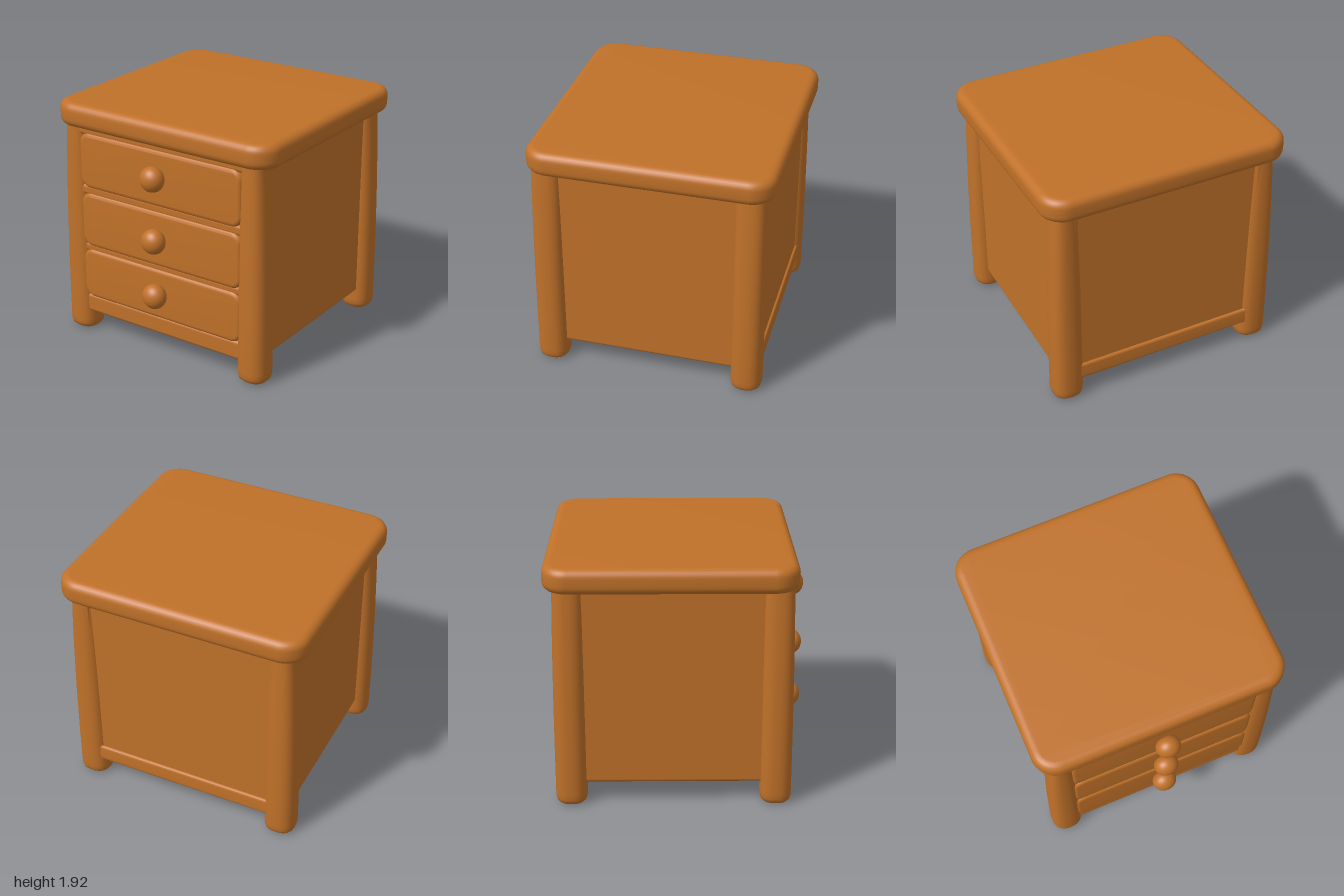
import * as THREE from 'three';
import { toCreasedNormals } from 'three/addons/utils/BufferGeometryUtils.js';
import { RoundedBoxGeometry } from 'three/addons/geometries/RoundedBoxGeometry.js';

const wood = new THREE.MeshStandardMaterial({ color: 0xc07129 });
wood.name = 'warm wood';

function add(parent, name, geometry, x = 0, y = 0, z = 0) {
  const mesh = new THREE.Mesh(geometry, wood);
  mesh.name = name;
  mesh.position.set(x, y, z);
  parent.add(mesh);
  return mesh;
}

// Rounded rectangle outline, centred on (0, cy)
function roundedOutline(Type, w, h, r, cy = 0) {
  const x = w / 2 - r, y = h / 2 - r;
  const s = new Type();
  s.absarc(x, cy + y, r, 0, Math.PI / 2);
  s.absarc(-x, cy + y, r, Math.PI / 2, Math.PI);
  s.absarc(-x, cy - y, r, Math.PI, Math.PI * 1.5);
  s.absarc(x, cy - y, r, Math.PI * 1.5, Math.PI * 2);
  s.closePath();
  return s;
}

// Extrusion along z with soft edges, centred on z = 0
function softExtrude(shape, depth, bevel) {
  const g = new THREE.ExtrudeGeometry(shape, {
    depth: depth - 2 * bevel, bevelEnabled: true, bevelSize: bevel,
    bevelThickness: bevel, bevelSegments: 6, curveSegments: 8,
  });
  g.translate(0, 0, -depth / 2 + bevel);
  return toCreasedNormals(g, 0.7);
}

function softSlab(w, h, depth, corner, bevel) {
  const outline = roundedOutline(THREE.Shape, w - 2 * bevel, h - 2 * bevel, corner - bevel);
  return softExtrude(outline, depth, bevel);
}

// Box given by its limits
function boxBetween(parent, name, x0, x1, y0, y1, z0, z1, r) {
  return add(parent, name, new RoundedBoxGeometry(x1 - x0, y1 - y0, z1 - z0, 4, r),
    (x0 + x1) / 2, (y0 + y1) / 2, (z0 + z1) / 2);
}

// Squarish round leg whose outward sides curve in near the top
function legGeometry(sx, sz) {
  const profile = [[0, 0], [0.075, 0], [0.095, 0.007], [0.113, 0.025], [0.12, 0.05], [0.122, 0.09],
    [0.122, 0.4], [0.122, 0.8], [0.122, 1.1], [0.122, 1.4], [0.122, 1.6], [0.122, 1.76]]
    .map(([r, y]) => new THREE.Vector2(r, y));
  const g = new THREE.LatheGeometry(profile, 40);
  const p = g.attributes.position;
  for (let i = 0; i < p.count; i++) {
    const x = p.getX(i), y = p.getY(i), z = p.getZ(i);
    const r = Math.hypot(x, z);
    if (r > 0) {
      const c = Math.abs(x / r), s = Math.abs(z / r);
      const k = Math.pow(c ** 2.5 + s ** 2.5, -1 / 2.5);
      const t = (y / 1.76) ** 2.5;
      const taperX = x * sx > 0 ? 1 - 0.32 * t : 1 - 0.12 * t;
      const taperZ = z * sz > 0 ? 1 - 0.15 * t : 1;
      p.setXYZ(i, x * k * 1.02 * taperX, y, z * k * taperZ);
    }
  }
  g.computeVertexNormals();
  return toCreasedNormals(g, 0.9);
}

export function createModel() {
  const model = new THREE.Group();
  model.name = 'nightstand';

  // Table top
  const top = add(model, 'tableTop', softSlab(2, 1.89, 0.195, 0.19, 0.065), 0, 1.8275, -0.055);
  top.rotation.x = -Math.PI / 2;

  // Cabinet body
  boxBetween(model, 'cabinetBody', -0.872, 0.872, 0.165, 1.76, -0.86, 0.79, 0.03);
  boxBetween(model, 'backPanel', -0.79, 0.79, 0.18, 1.76, -0.902, -0.8, 0.01);

  // Raised frame around the back panel
  const frame = roundedOutline(THREE.Shape, 1.56, 1.555, 0.02, 0.9625);
  frame.holes.push(roundedOutline(THREE.Path, 1.53, 1.475, 0.05, 1.0225));
  add(model, 'backFrame', softExtrude(frame, 0.11, 0.02), 0, 0, -0.868);

  // Front rails between the drawers
  for (const [y0, y1] of [[0.165, 0.325], [0.7, 0.78], [1.185, 1.275], [1.68, 1.76]]) {
    boxBetween(model, 'frontRail', -0.8, 0.8, y0, y1, 0.72, 0.842, 0.03);
  }

  // Legs
  for (const sx of [-1, 1]) {
    add(model, 'frontLeg', legGeometry(sx, 1), sx * 0.825, 0, 0.75);
    add(model, 'backLeg', legGeometry(sx, -1), sx * 0.825, 0, -0.825);
  }

  // Drawers with round knobs
  for (const [y0, y1, knobY] of [[0.31, 0.73, 0.53], [0.755, 1.21, 0.99], [1.25, 1.705, 1.495]]) {
    const drawer = new THREE.Group();
    drawer.name = 'drawer';
    add(drawer, 'drawerFront', softSlab(1.51, y1 - y0, 0.12, 0.09, 0.035), 0, (y0 + y1) / 2, 0.797);
    const stem = add(drawer, 'knobStem', new THREE.CylinderGeometry(0.05, 0.06, 0.08, 24), 0, knobY, 0.865);
    stem.rotation.x = Math.PI / 2;
    const knob = add(drawer, 'knob', new THREE.SphereGeometry(0.099, 32, 24), 0, knobY, 0.915);
    knob.scale.z = 0.86;
    model.add(drawer);
  }

  return model;
}
